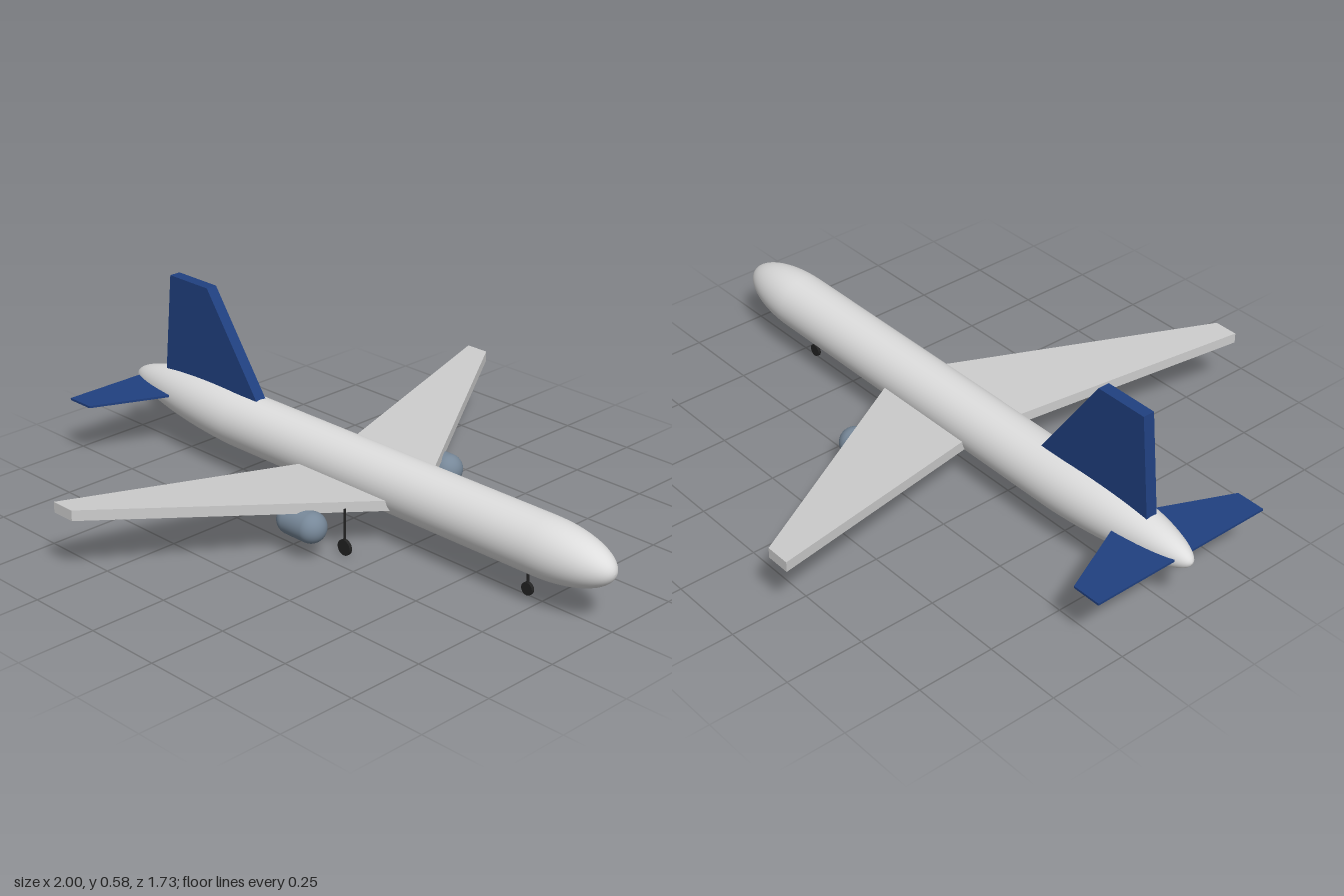
import * as THREE from 'three';

const mat = (name, color, extra = {}) => {
  const m = new THREE.MeshStandardMaterial({ color, ...extra });
  m.name = name;
  return m;
};

// Body of revolution along x with elliptical ends: tail length, nose length
function roundedBody(x0, x1, radius, tail, nose, power = 0.5) {
  const pts = [];
  const N = 20;
  for (let i = 0; i <= N; i++) {
    const a = (i / N) * Math.PI / 2;
    pts.push(new THREE.Vector2(radius * Math.pow(Math.sin(a), power * 2), x0 + tail * (1 - Math.cos(a))));
  }
  for (let i = 0; i <= N; i++) {
    const a = (i / N) * Math.PI / 2;
    pts.push(new THREE.Vector2(i === N ? 0 : radius * Math.cos(a), x1 - nose * (1 - Math.sin(a))));
  }
  return new THREE.LatheGeometry(pts, 48).rotateZ(-Math.PI / 2);
}

// Horizontal slab from an [x, z] outline, raised along the span by the dihedral
function slab(outline, side, bottom, thickness, dihedral) {
  const shape = new THREE.Shape(outline.map(([x, z]) => new THREE.Vector2(x, z * side)));
  const geo = new THREE.ExtrudeGeometry(shape, { depth: thickness, bevelEnabled: false });
  geo.rotateX(Math.PI / 2).translate(0, bottom + thickness, 0);
  const p = geo.attributes.position;
  for (let i = 0; i < p.count; i++) p.setY(i, p.getY(i) + dihedral * Math.abs(p.getZ(i)));
  geo.computeVertexNormals();
  return geo;
}

export function createModel() {
  const group = new THREE.Group();
  group.name = 'airliner';
  const white = mat('fuselageWhite', 0xdddddd);
  const grey = mat('wingGrey', 0xcccccc);
  const blue = mat('tailBlue', 0x204080);
  const steel = mat('engineSteel', 0x778899);
  const black = mat('gearBlack', 0x222222);

  const add = (name, geo, material, parent = group) => {
    const m = new THREE.Mesh(geo, material);
    m.name = name;
    parent.add(m);
    return m;
  };

  // Fuselage: long tapered tail that lifts slightly towards its tip
  const body = roundedBody(-1, 1, 0.091, 0.5, 0.25);
  const p = body.attributes.position;
  for (let i = 0; i < p.count; i++) {
    const t = THREE.MathUtils.clamp((-0.5 - p.getX(i)) / 0.35, 0, 1);
    p.setY(i, p.getY(i) + 0.175 + 0.016 * t);
  }
  add('fuselage', body, white);

  // Vertical fin
  const finShape = new THREE.Shape([
    [-0.84, 0.25], [-0.4, 0.25], [-0.63, 0.58], [-0.805, 0.58],
  ].map(([x, y]) => new THREE.Vector2(x, y)));
  const fin = new THREE.ExtrudeGeometry(finShape, { depth: 0.038, bevelEnabled: false });
  add('verticalFin', fin.translate(0, 0, -0.019), blue);

  // Landing gear leg with a thin wheel
  const landingGear = (name, x, z, top, r) => {
    const gear = new THREE.Group();
    gear.name = name;
    add('strut', new THREE.CylinderGeometry(0.004, 0.004, top - r, 12)
      .translate(0, (top + r) / 2, 0), black, gear);
    add('wheel', new THREE.CylinderGeometry(r, r, 0.01, 28)
      .rotateX(Math.PI / 2).translate(0, r, 0), black, gear);
    gear.position.set(x, 0, z);
    group.add(gear);
  };
  landingGear('noseGear', 0.695, 0, 0.11, 0.02);

  // Mirrored parts
  for (const side of [1, -1]) {
    const label = side > 0 ? 'left' : 'right';
    add(label + 'Wing', slab(
      [[0.275, 0], [-0.25, 0.865], [-0.33, 0.865], [-0.123, 0]], side, 0.121, 0.033, 0.09), grey);
    add(label + 'Stabilizer', slab(
      [[-0.728, 0], [-0.87, 0.315], [-0.965, 0.315], [-0.965, 0]], side, 0.192, 0.007, 0), blue);
    const engine = add(label + 'Engine', roundedBody(-0.086, 0.086, 0.048, 0.046, 0.046), steel);
    engine.position.set(0.077, 0.109, 0.288 * side);
    landingGear(label + 'MainGear', 0.157, 0.192 * side, 0.15, 0.025);
  }
  return group;
}
